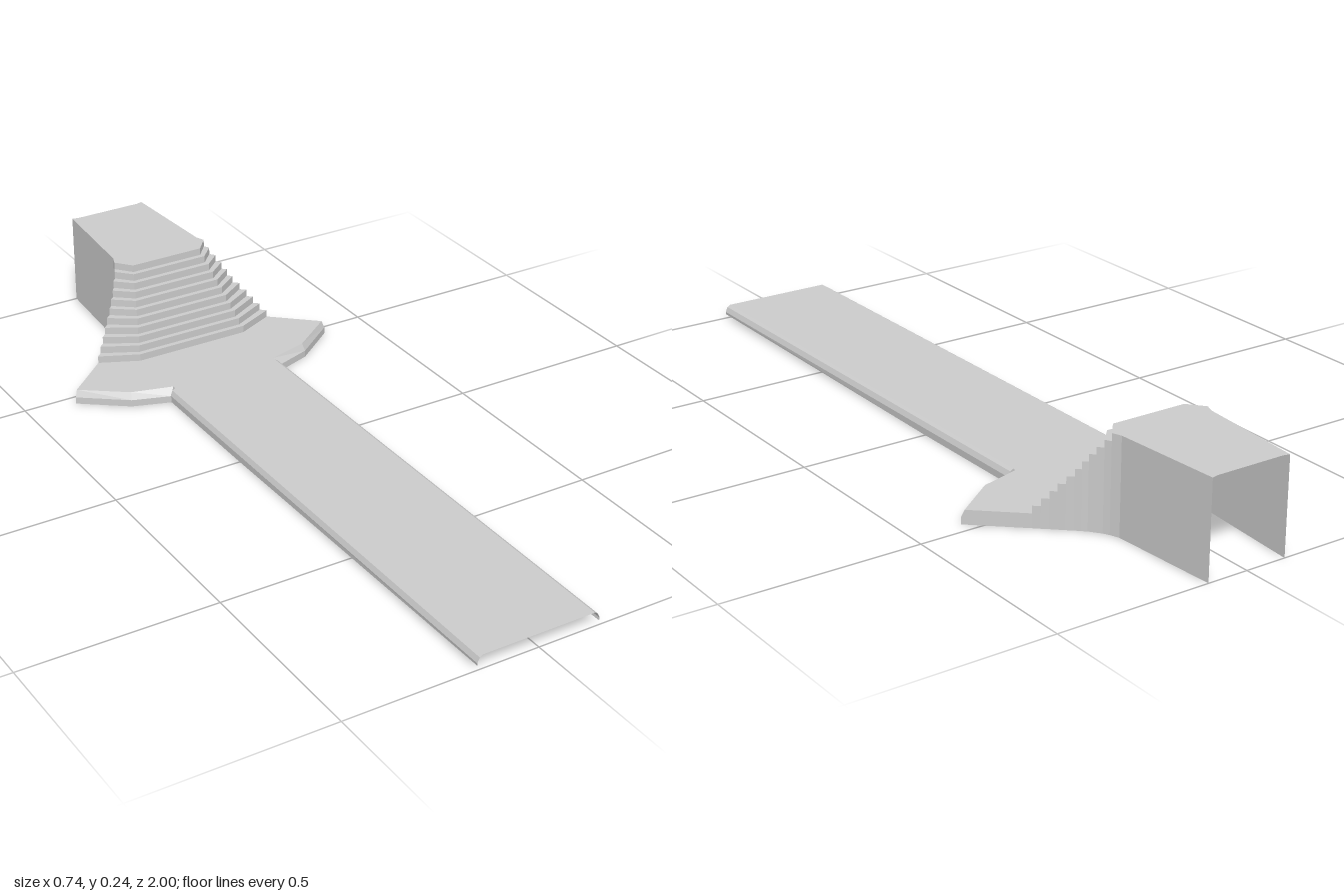
import * as THREE from 'three';
import { mergeGeometries } from 'three/addons/utils/BufferGeometryUtils.js';

const DECK = 0.036, BEVEL = 0.018, TOP = 0.243, STEPS = 11;

// Surface between two polylines with the same number of points
function strip(a, b) {
  const pos = [];
  for (let i = 0; i + 1 < a.length; i++) {
    pos.push(...a[i], ...a[i + 1], ...b[i + 1], ...a[i], ...b[i + 1], ...b[i]);
  }
  const g = new THREE.BufferGeometry();
  g.setAttribute('position', new THREE.Float32BufferAttribute(pos, 3));
  g.computeVertexNormals();
  return g;
}

// Flat horizontal sheet, mirrored from the outline of its +x half (x, z)
function sheet(half, y) {
  const outline = [...half, ...half.map(([x, z]) => [-x, z]).reverse()];
  const shape = new THREE.Shape(outline.map(([x, z]) => new THREE.Vector2(x, -z)));
  const g = new THREE.ShapeGeometry(shape).rotateX(-Math.PI / 2).translate(0, y, 0).toNonIndexed();
  g.deleteAttribute('uv');
  return g;
}

export function createModel() {
  const group = new THREE.Group();
  const material = new THREE.MeshStandardMaterial({ color: 0xcccccc, side: THREE.DoubleSide, flatShading: true });
  const add = (name, geometries) => {
    const mesh = new THREE.Mesh(mergeGeometries(geometries), material);
    mesh.name = name;
    group.add(mesh);
  };
  // Builds a strip for both sides, from points on the +x side
  const bothSides = (a, b) => {
    const m = (p) => p.map(([x, y, z]) => [-x, y, z]);
    return [strip(a, b), strip(m(b), m(a))];
  };
  const at = (points, y) => points.map(([x, z]) => [x, y, z]);

  // Outer end of every step, and the line each riser follows in plan
  const tips = [[0.254, -0.572], [0.24, -0.585], [0.226, -0.597], [0.213, -0.609], [0.199, -0.622],
    [0.185, -0.634], [0.174, -0.645], [0.163, -0.655], [0.153, -0.668], [0.142, -0.682], [0.134, -0.697]];
  const level = (i) => DECK + (TOP - DECK) * i / STEPS;
  const lines = tips.map(([x, z], i) => {
    const t = i / (STEPS - 1);
    const bend = 0.155 - 0.055 * t, front = -0.526 - 0.13 * t;
    return [[-x, z], [-bend, front], [bend, front], [x, z]];
  });

  // Long walkway with bevelled, tapering edges
  const backZ = -0.36;
  const profile = [[0.148, DECK], [0.156, 0.031], [0.162, BEVEL]];
  const walkway = [strip([[-0.148, DECK, 1], [0.148, DECK, 1]], [[-0.148, DECK, backZ], [0.148, DECK, backZ]])];
  walkway.push(...bothSides(profile.map(([x, y]) => [x, y, 1]), profile.map(([x, y]) => [x, y, -0.35])));
  walkway.push(...bothSides(
    [[0.162, BEVEL, 1], [0.162, BEVEL, 0], [0.162, BEVEL, -0.347]],
    [[0.161, 0.011, 1], [0.161, 0, 0], [0.161, 0, -0.347]]));
  add('walkway', walkway);

  // Flared landing with its bevelled rim
  const rimTop = [[0.148, backZ], [0.254, -0.389], [0.366, -0.472]];
  const rimOuter = [[0.162, -0.347], [0.258, -0.38], [0.372, -0.467]];
  add('landing', [sheet([...rimTop, tips[0], lines[0][2]], DECK)]);
  add('landingRim', [
    ...bothSides(at(rimTop, DECK), at(rimOuter, BEVEL)),
    ...bothSides(at(rimOuter, BEVEL), at(rimOuter, 0)),
  ]);

  // Staircase
  const stairs = [];
  for (let i = 0; i < STEPS; i++) {
    stairs.push(strip(at(lines[i], level(i)), at(lines[i], level(i + 1))));
    if (i + 1 < STEPS) stairs.push(strip(at(lines[i], level(i + 1)), at(lines[i + 1], level(i + 1))));
  }
  add('stairs', stairs);

  // Upper platform
  const neck = [0.125, -0.72], end = [0.106, -1];
  add('upperPlatform', [sheet([lines[STEPS - 1][2], tips[STEPS - 1], neck, end, [0.09, -0.996]], TOP)]);

  // Side walls under the landing, the steps and the platform
  const walls = bothSides(
    [[...tips[0]], rimTop[2], rimOuter[2]].map(([x, z], i) => [x, i < 2 ? DECK : BEVEL, z]),
    at([tips[0], rimTop[2], rimOuter[2]], 0));
  for (let i = 0; i + 1 < STEPS; i++) {
    const run = [tips[i], tips[i + 1]];
    walls.push(...bothSides(at(run, level(i + 1)), at(run, 0)));
  }
  const upper = [tips[STEPS - 1], neck, end];
  walls.push(...bothSides(at(upper, TOP), at(upper, 0)));
  add('sideWalls', walls);

  return group;
}
